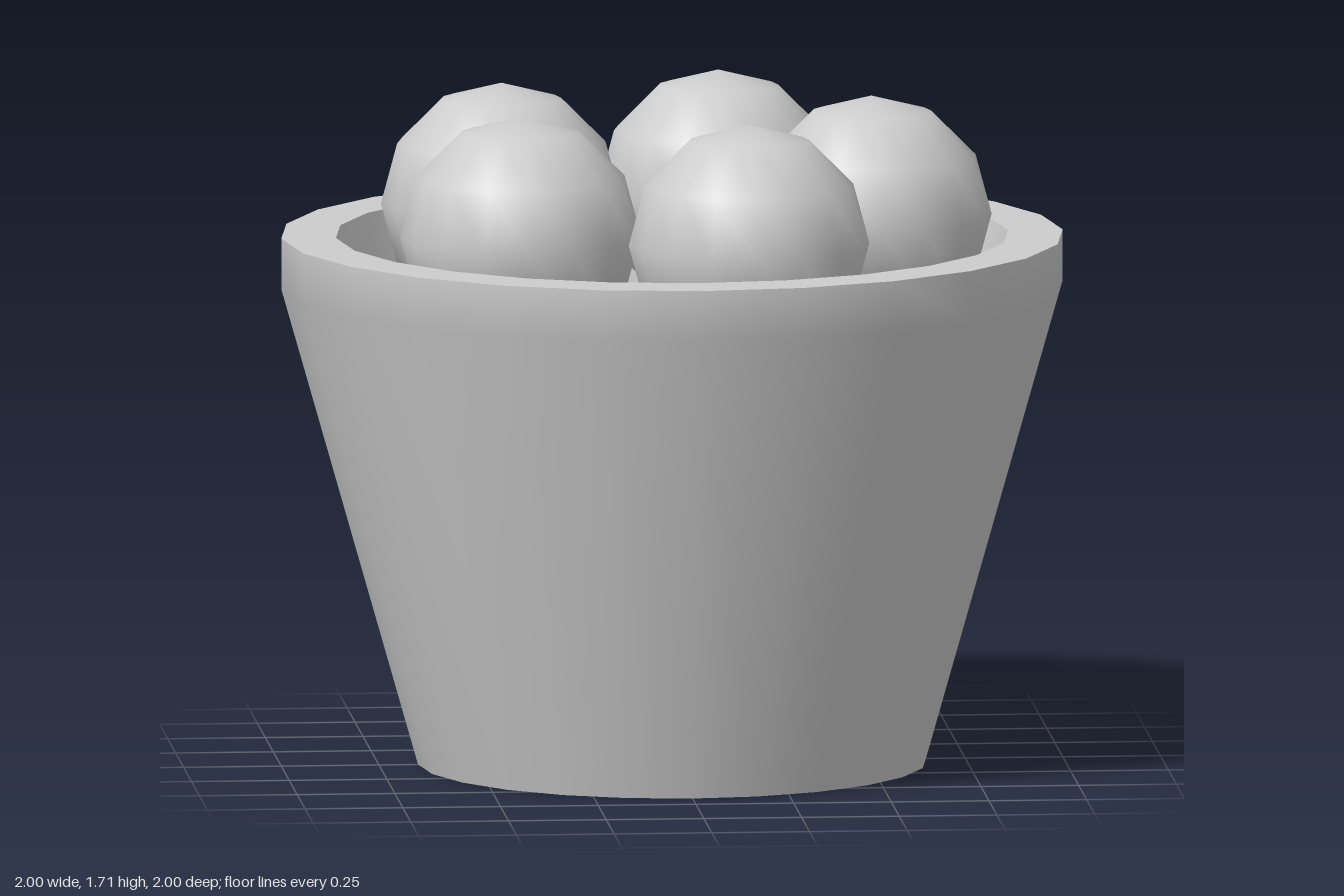
import * as THREE from 'three';

export function createModel() {
  const model = new THREE.Group();
  model.name = 'bucketOfBalls';
  const gray = new THREE.MeshStandardMaterial({ color: 0xcccccc });
  gray.name = 'lightGray';

  const add = (name, geometry, parent = model) => {
    const mesh = new THREE.Mesh(geometry, gray);
    mesh.name = name;
    parent.add(mesh);
    return mesh;
  };
  // Each profile section is its own lathe, so the edges between them stay sharp
  const turn = (...profile) =>
    new THREE.LatheGeometry(profile.map(([r, y]) => new THREE.Vector2(r, y)), 24);

  // Bucket: tapered shell with a straight lip, hollow inside
  const bucket = new THREE.Group();
  bucket.name = 'bucket';
  model.add(bucket);
  add('base', turn([0, 0], [0.65, 0]), bucket);
  add('outerWall', turn([0.65, 0], [1, 1.23], [1, 1.36]), bucket);
  add('rim', turn([1, 1.36], [0.86, 1.36]), bucket);
  add('innerWall', turn([0.86, 1.36], [0.55, 0.13]), bucket);
  add('floor', turn([0.55, 0.13], [0, 0.13]), bucket);

  // Ring of five balls resting in the mouth
  const ballGeometry = new THREE.SphereGeometry(0.308, 16, 6);
  for (let i = 0; i < 5; i++) {
    const a = (i * Math.PI * 2) / 5;
    add('ball' + (i + 1), ballGeometry)
      .position.set(0.51 * Math.cos(a), 1.403, 0.51 * Math.sin(a));
  }
  return model;
}
